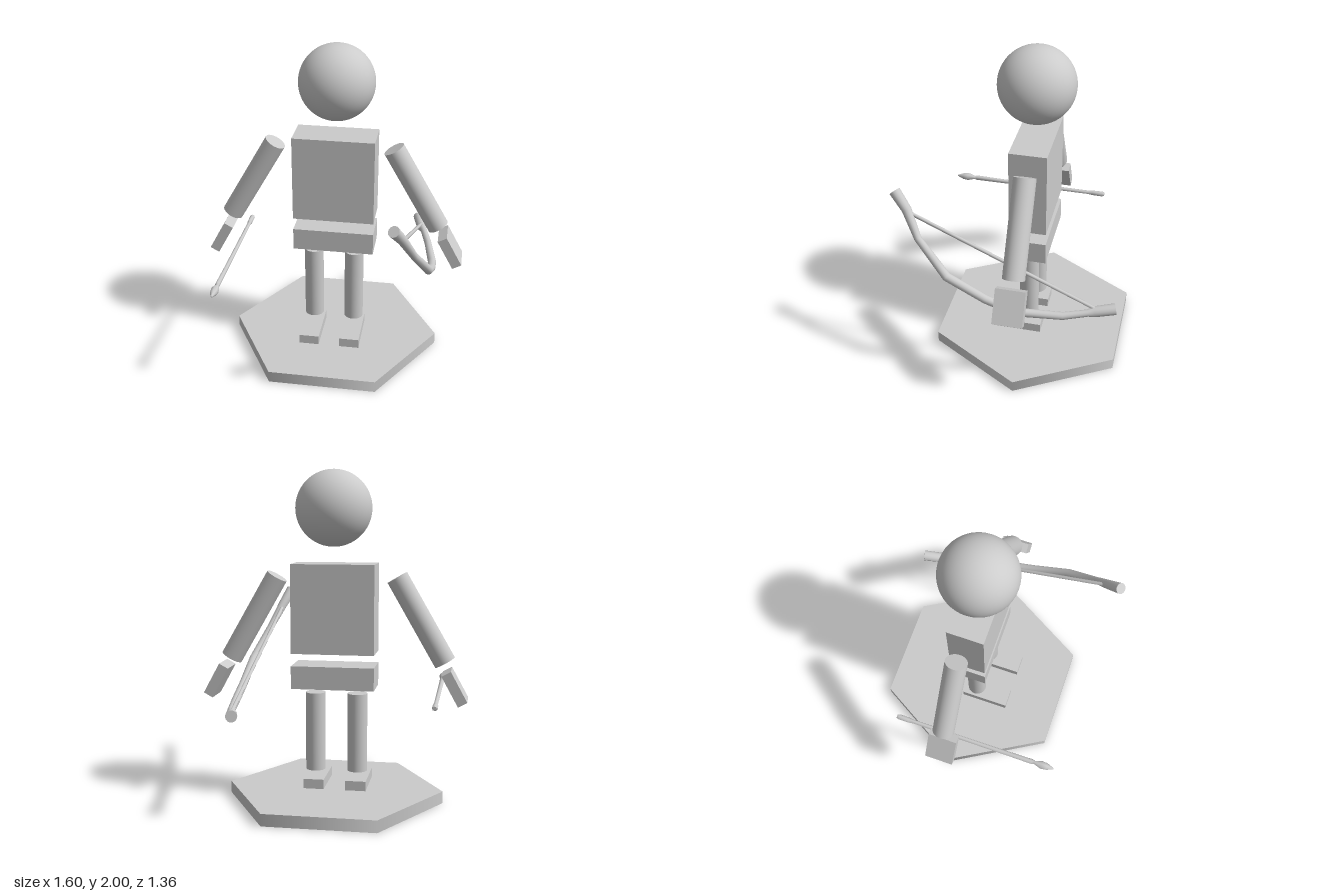
import * as THREE from 'three';

const material = new THREE.MeshStandardMaterial({ color: 0xcccccc });
const V = (x, y, z) => new THREE.Vector3(x, y, z);

// Rod through stations [x, y, z, radius]: a cylinder whose rows are moved onto the path
function sweep(stations, sides) {
  const n = stations.length - 1;
  const points = stations.map(s => V(s[0], s[1], s[2]));
  const frames = points.map((p, i) => {
    const axis = points[Math.max(i - 1, 0)].clone().sub(points[Math.min(i + 1, n)]).normalize();
    const a = V(1, 0, 0).cross(axis).normalize();
    return [a, a.clone().cross(axis)];
  });
  const geometry = new THREE.CylinderGeometry(1, 1, 1, sides, n);
  const pos = geometry.attributes.position;
  for (let i = 0; i < pos.count; i++) {
    const row = Math.round((0.5 - pos.getY(i)) * n);
    const [a, b] = frames[row], r = stations[row][3];
    const p = points[row].clone()
      .addScaledVector(a, pos.getX(i) * r)
      .addScaledVector(b, pos.getZ(i) * r);
    pos.setXYZ(i, p.x, p.y, p.z);
  }
  geometry.computeVertexNormals();
  return geometry;
}

export function createModel() {
  const model = new THREE.Group();

  const add = (name, geometry, x = 0, y = 0, z = 0) => {
    const mesh = new THREE.Mesh(geometry, material);
    mesh.name = name;
    mesh.position.set(x, y, z);
    model.add(mesh);
    return mesh;
  };
  const box = (name, w, h, d, x, y, z) => add(name, new THREE.BoxGeometry(w, h, d), x, y, z);

  // Hexagonal stand with corners on the x axis
  add('base', new THREE.CylinderGeometry(0.66, 0.66, 0.073, 6, 1, false, Math.PI / 2), 0, 0.0365, -0.087);

  // Head and trunk
  add('head', new THREE.SphereGeometry(0.228, 48, 32), 0.007, 1.772, -0.088);
  box('torso', 0.5, 0.535, 0.225, 0, 1.178, -0.087);
  box('hips', 0.5, 0.138, 0.225, 0, 0.767, -0.087);

  // Limbs
  for (const [side, s] of [['left', 1], ['right', -1]]) {
    const x = s > 0 ? 0.122 : -0.136;
    add(side + 'Leg', new THREE.CylinderGeometry(0.06, 0.06, 0.48, 32), x, 0.42, -0.075);
    box(side + 'Foot', 0.125, 0.06, 0.31, x, 0.102, -0.004);

    const armX = s > 0 ? 0.496 : -0.517;
    const arm = add(side + 'Arm', new THREE.CylinderGeometry(0.066, 0.066, 0.577, 32), armX, 1.117, -0.095);
    arm.rotation.z = s * 0.522;

    const hand = box(side + 'Hand', 0.062, 0.207, 0.177, s * 0.722, s > 0 ? 0.73 : 0.72, -0.09);
    hand.rotation.z = s * 0.5;
  }

  // Bow: bent limb with thicker tips
  add('bow', sweep([
    [0.427, 1.215, 0.655, 0.034],
    [0.468, 1.125, 0.575, 0.029],
    [0.535, 0.98, 0.495, 0.022],
    [0.61, 0.79, 0.31, 0.027],
    [0.617, 0.67, 0.08, 0.026],
    [0.615, 0.605, -0.1, 0.026],
    [0.573, 0.591, -0.37, 0.023],
    [0.535, 0.608, -0.51, 0.021],
    [0.52, 0.612, -0.545, 0.032],
    [0.488, 0.628, -0.665, 0.034],
  ], 14));
  add('bowString', sweep([
    [0.47, 1.11, 0.565, 0.011],
    [0.515, 0.635, -0.545, 0.011],
  ], 8));

  // Arrow: shaft with a swollen nock and a leaf-shaped point
  add('arrow', sweep([
    [-0.623, 0.66, -0.43, 0.012],
    [-0.623, 0.66, -0.415, 0.017],
    [-0.623, 0.66, -0.35, 0.016],
    [-0.623, 0.66, -0.32, 0.012],
    [-0.623, 0.664, 0.3, 0.014],
    [-0.623, 0.666, 0.465, 0.016],
    [-0.623, 0.666, 0.48, 0.011],
    [-0.623, 0.666, 0.525, 0.025],
    [-0.623, 0.666, 0.56, 0.021],
    [-0.623, 0.666, 0.603, 0.004],
  ], 8));

  return model;
}
